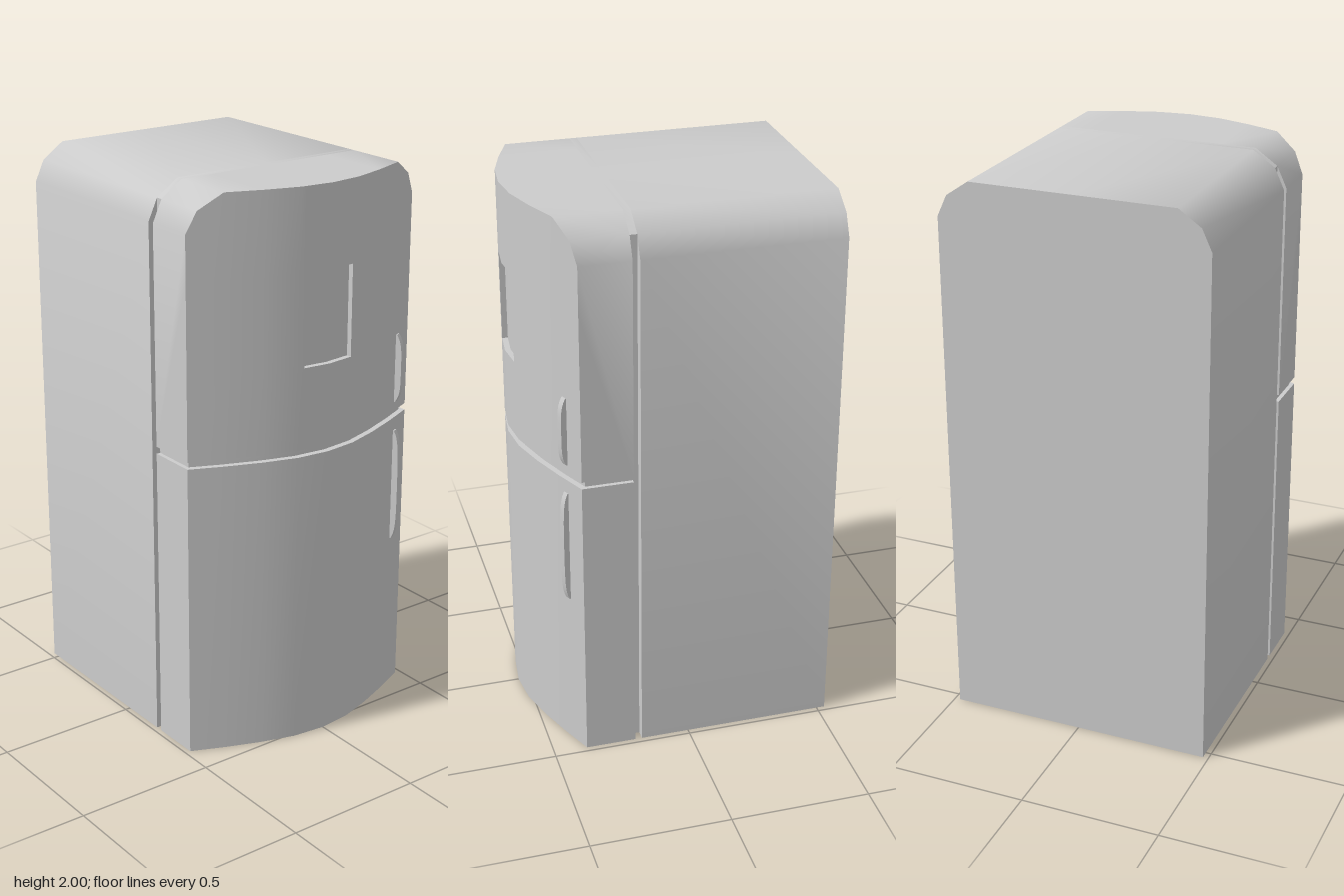
import * as THREE from 'three';
import { toCreasedNormals } from 'three/addons/utils/BufferGeometryUtils.js';

const material = new THREE.MeshStandardMaterial({ color: 0xcccccc });

// Outline rules by distance from the centre line: [x, value]
const TOP = [[0, 2], [0.365, 2], [0.445, 1.945], [0.48, 1.87]];
const FRONT = [[0, 0.53], [0.12, 0.517], [0.24, 0.48], [0.365, 0.431], [0.48, 0.38]];

function sample(table, x) {
  const d = Math.abs(x);
  for (let i = 1; i < table.length; i++) {
    const [x0, v0] = table[i - 1], [x1, v1] = table[i];
    if (d <= x1 + 1e-6) return v0 + (v1 - v0) * (d - x0) / (x1 - x0);
  }
  return table[table.length - 1][1];
}
const topAt = (x) => sample(TOP, x);
const frontAt = (x) => sample(FRONT, x);

// Mirrors a list of positive x stations around the centre
const stations = (half) => [...half.map((x) => -x), 0, ...half.slice().reverse()];

// Lofts closed (z, y) sections along x and caps both ends
function loft(name, sections) {
  const pos = [];
  const n = sections[0].ring.length, last = sections.length - 1;
  const put = (i, j) => {
    const [z, y] = sections[i].ring[j % n];
    pos.push(sections[i].x, y, z);
  };
  for (let i = 0; i < last; i++) {
    for (let j = 0; j < n; j++) {
      put(i, j); put(i + 1, j); put(i + 1, j + 1);
      put(i, j); put(i + 1, j + 1); put(i, j + 1);
    }
  }
  for (let j = 1; j < n - 1; j++) {
    put(0, 0); put(0, j); put(0, j + 1);
    put(last, 0); put(last, j + 1); put(last, j);
  }
  const geometry = new THREE.BufferGeometry();
  geometry.setAttribute('position', new THREE.Float32BufferAttribute(pos, 3));
  const mesh = new THREE.Mesh(toCreasedNormals(geometry, 0.7), material);
  mesh.name = name;
  return mesh;
}

// Slab with a rectangular section whose limits may vary along x
function slab(name, xs, back, front, bottom, top) {
  return loft(name, xs.map((x) => ({
    x,
    ring: [[back, bottom], [front(x), bottom], [front(x), top(x)], [back, top(x)]],
  })));
}

// Upper door: doubled stations at the panel sides form the recess walls
function upperDoor() {
  const half = [0.48, 0.445, 0.365, 0.24, 0.12, 0.1, 0.1];
  const y0 = 1.385, y1 = 1.71, depth = 0.02;
  const xs = stations(half);
  const middle = half.length;
  return loft('upperDoor', xs.map((x, i) => {
    const f = frontAt(x);
    const r = Math.abs(i - middle) <= 1 ? f - depth : f;
    return {
      x,
      ring: [[0.2, 1.095], [f, 1.095], [f, y0], [r, y0], [r, y1], [f, y1], [f, topAt(x)], [0.2, topAt(x)]],
    };
  }));
}

// Bowed grip standing square to the curved door
function handle(name, y0, y1) {
  const width = 0.02, out = 0.022, h = y1 - y0;
  const shape = new THREE.Shape();
  shape.moveTo(-0.012, 0);
  shape.lineTo(0.003, 0);
  shape.bezierCurveTo(out, 0.03, out, h * 0.2, out, h * 0.5);
  shape.bezierCurveTo(out, h * 0.8, out, h - 0.03, 0.003, h);
  shape.lineTo(-0.012, h);
  shape.closePath();
  const geometry = new THREE.ExtrudeGeometry(shape, { depth: width, bevelEnabled: false, curveSegments: 6 });
  geometry.translate(0, 0, -width / 2);
  const mesh = new THREE.Mesh(toCreasedNormals(geometry, 0.6), material);
  mesh.name = name;
  mesh.position.set(0.402, y0, 0.416);
  mesh.rotation.y = 0.42 - Math.PI / 2;
  return mesh;
}

export function createModel() {
  const group = new THREE.Group();
  group.name = 'refrigerator';

  // Cabinet and the narrower seal between it and the doors
  group.add(slab('cabinet', stations([0.48, 0.445, 0.365]), -0.53, () => 0.175, 0, topAt));
  group.add(slab('doorSeal', stations([0.445, 0.365]), 0.175, () => 0.2, 0, topAt));

  // Doors with a recessed band between them
  const plan = [0.48, 0.365, 0.24, 0.12];
  group.add(slab('lowerDoor', stations(plan), 0.2, frontAt, 0, () => 1.07));
  group.add(slab('dividerBand', stations([0.465, 0.365, 0.24, 0.12]), 0.2, (x) => frontAt(x) - 0.022, 1.07, () => 1.095));
  group.add(upperDoor());

  // Handles
  group.add(handle('upperHandle', 1.13, 1.38));
  group.add(handle('lowerHandle', 0.6, 1.02));

  return group;
}
